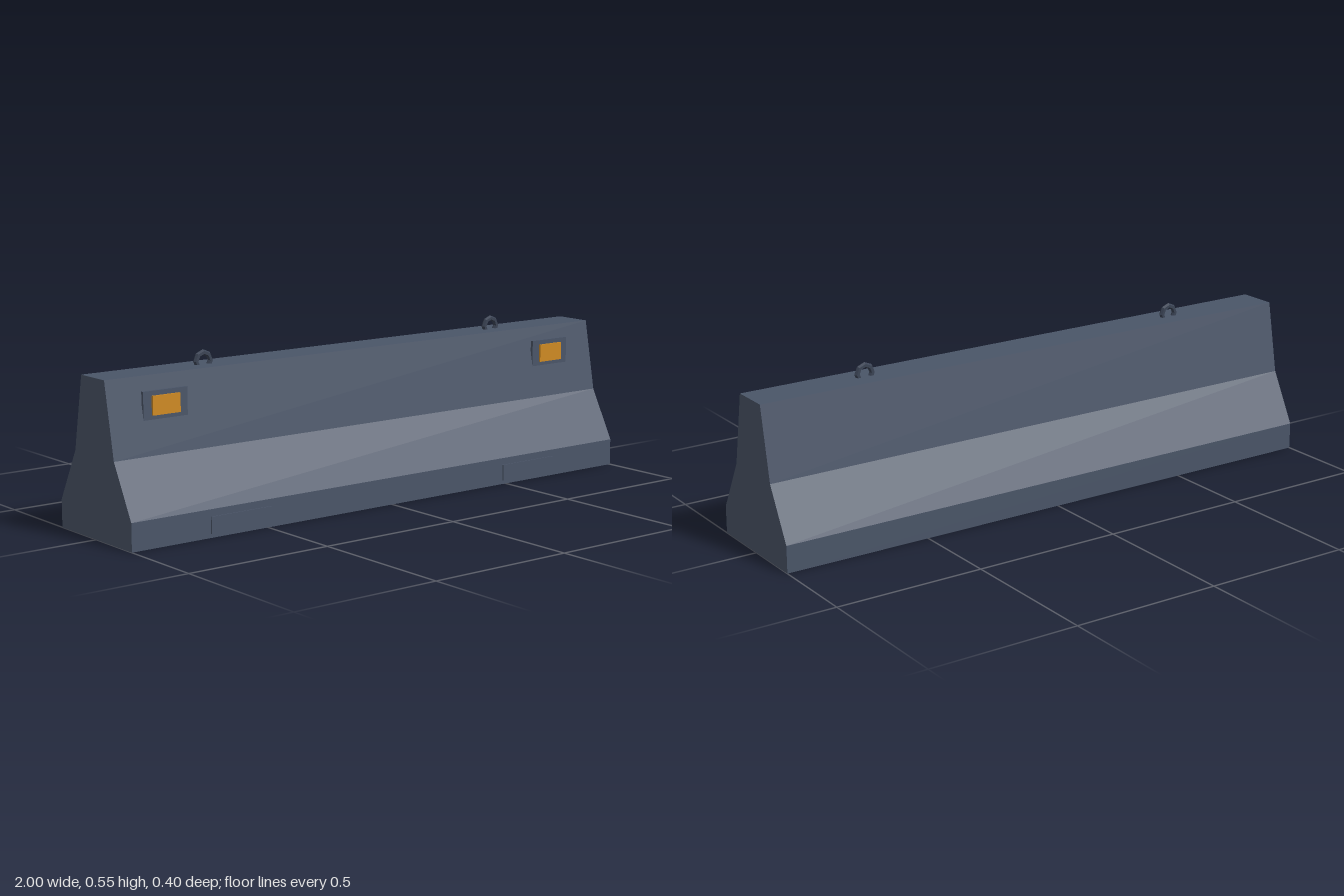
import * as THREE from 'three';

export function createModel() {
  const mat = (name, color) => {
    const m = new THREE.MeshStandardMaterial({ color });
    m.name = name;
    return m;
  };
  const concrete = mat('slate concrete', 0x4a5568);
  const steel = mat('dark steel', 0x3a4354);
  const amber = mat('amber reflector', 0xcf8a22);
  steel.flatShading = true;

  const group = new THREE.Group();
  group.name = 'roadBarrier';
  const add = (name, geometry, material, x, y, z) => {
    const mesh = new THREE.Mesh(geometry, material);
    mesh.name = name;
    mesh.position.set(x, y, z);
    group.add(mesh);
  };

  // Barrier body: symmetric stepped cross-section swept along x
  const half = [[0.2, 0], [0.2, 0.09], [0.11, 0.26], [0.065, 0.5]];
  const outline = [...half, ...half.map(([z, y]) => [-z, y]).reverse()];
  const section = new THREE.Shape(outline.map(([z, y]) => new THREE.Vector2(z, y)));
  const bodyGeometry = new THREE.ExtrudeGeometry(section, { depth: 2, bevelEnabled: false });
  bodyGeometry.translate(0, 0, -1).rotateY(-Math.PI / 2);
  add('body', bodyGeometry, concrete, 0, 0, 0);

  for (const side of [-1, 1]) {
    const end = side < 0 ? 'right' : 'left';
    // Lifting ring, half sunk in the top
    add(end + 'LiftingRing', new THREE.TorusGeometry(0.027, 0.0093, 6, 8), steel, side * 0.6, 0.51, 0);
    // Reflector on its backing plate
    add(end + 'ReflectorPlate', new THREE.BoxGeometry(0.16, 0.09, 0.01), concrete, side * 0.8, 0.41, 0.085);
    add(end + 'Reflector', new THREE.BoxGeometry(0.1, 0.06, 0.008), amber, side * 0.8, 0.41, 0.093);
    // Forklift pocket cover at the foot
    add(end + 'PocketCover', new THREE.BoxGeometry(0.23, 0.054, 0.008), concrete, side * 0.6, 0.04, 0.2);
  }
  return group;
}
